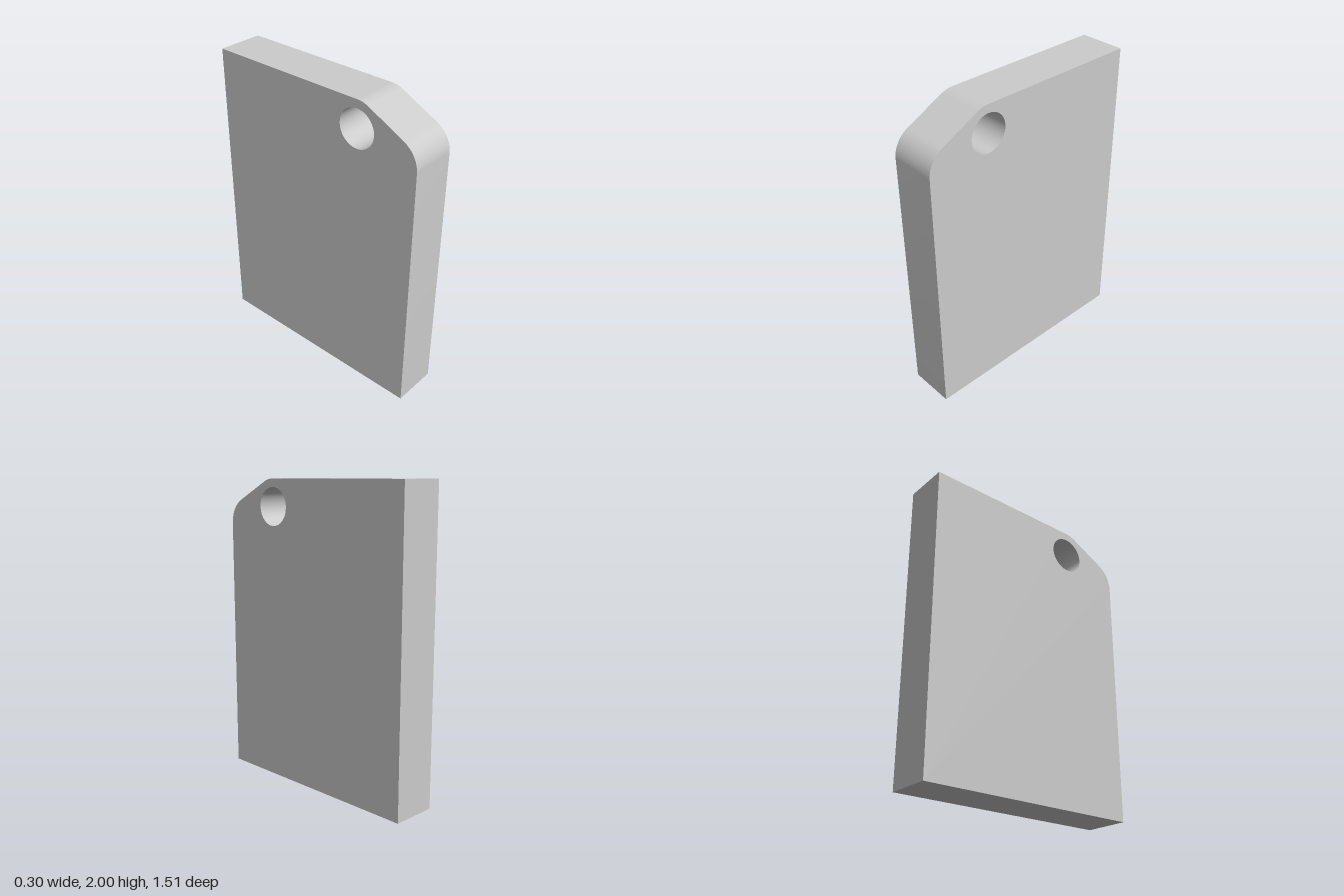
import * as THREE from 'three';
import { toCreasedNormals } from 'three/addons/utils/BufferGeometryUtils.js';

export function createModel() {
  const model = new THREE.Group();
  const halfDepth = 0.756, height = 2, thickness = 0.302;
  const radius = 0.178, holeRadius = 0.124;

  // Arc centres; the upper one is also the centre of the hole
  const upper = new THREE.Vector2(0.334, height - radius);
  const lower = new THREE.Vector2(halfDepth - radius, 1.7);
  const slope = Math.atan2(upper.x - lower.x, lower.y - upper.y) + Math.PI;
  const normal = slope > Math.PI / 2 ? slope - Math.PI / 2 : slope;
  const bevel = Math.atan2(lower.x - upper.x, upper.y - lower.y) || normal;

  // Side profile: a plate with one rounded, sloping top corner
  const profile = new THREE.Shape();
  profile.moveTo(-halfDepth, 0);
  profile.lineTo(halfDepth, 0);
  profile.lineTo(halfDepth, lower.y);
  profile.absarc(lower.x, lower.y, radius, 0, bevel, false);
  profile.absarc(upper.x, upper.y, radius, bevel, Math.PI / 2, false);
  profile.lineTo(-halfDepth, height);
  profile.closePath();

  // Round through-hole
  const hole = new THREE.Path();
  hole.absarc(upper.x, upper.y, holeRadius, 0, Math.PI * 2, true);
  profile.holes.push(hole);

  // Extrude across the thickness, then turn the profile to face sideways
  const geometry = new THREE.ExtrudeGeometry(profile, {
    depth: thickness, bevelEnabled: false, curveSegments: 32,
  });
  geometry.translate(0, 0, -thickness / 2);
  geometry.rotateY(-Math.PI / 2);

  const plate = new THREE.Mesh(
    toCreasedNormals(geometry, Math.PI / 6),
    new THREE.MeshStandardMaterial({ color: 0xcccccc }),
  );
  plate.name = 'plate';
  model.add(plate);
  return model;
}
